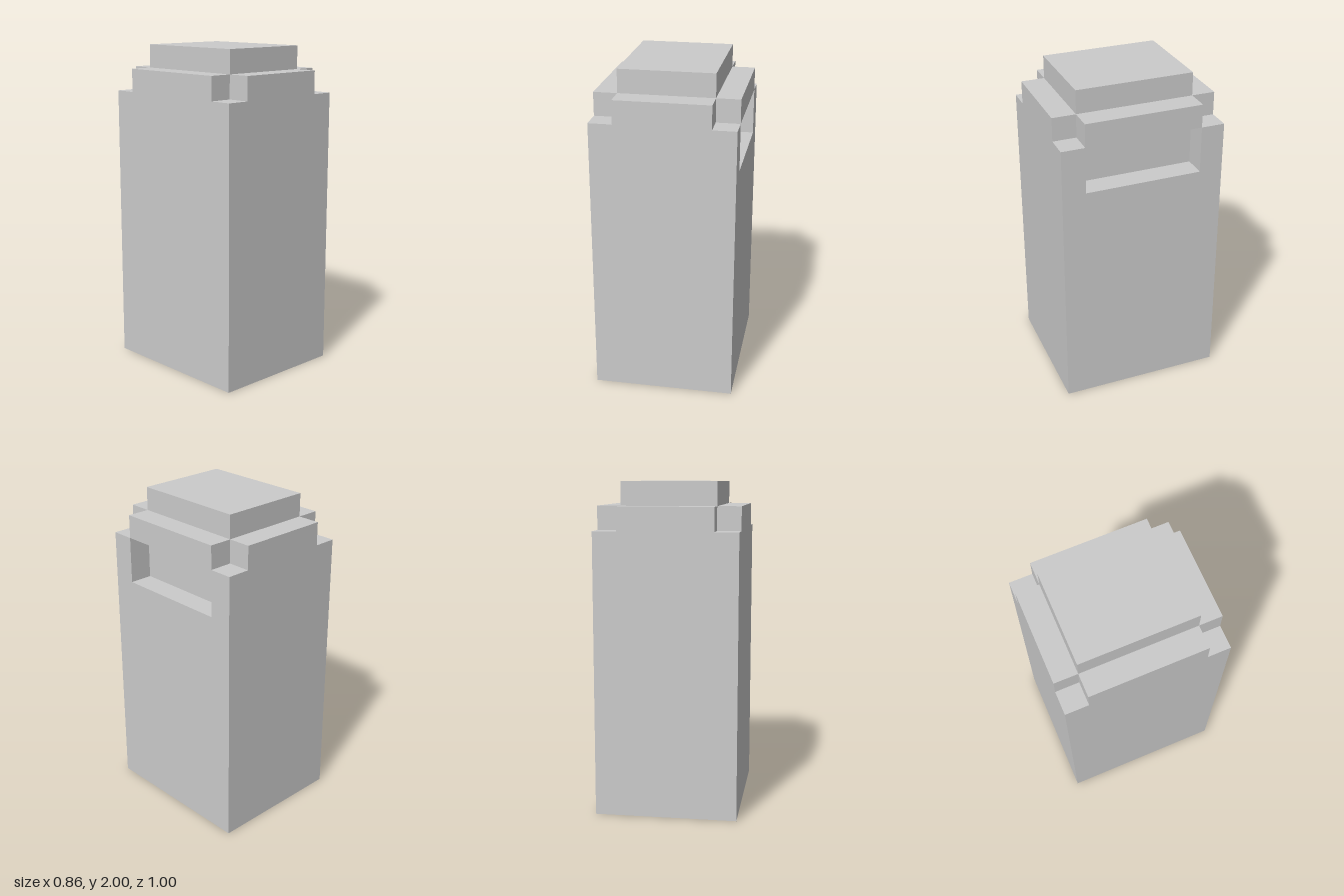
import * as THREE from 'three';

const U = 1 / 7; // block unit

// Cut planes of the block, in units, along x, y and z
const CUTS = [
  [-3, -2, 2, 3],
  [0, 10, 12, 13, 14],
  [-3.5, -2.5, 2.5, 3.5],
];

// Which cells between the cut planes are filled, layer by layer
function isSolid([i, j, k]) {
  if (i < 0 || i > 2 || k < 0 || k > 2) return false;
  if (j === 0) return true;                     // body
  if (j === 1) return !(i === 2 && k === 1);    // slot in the left side
  if (j === 2) return i === 1 || k === 1;       // shoulder with notched corners
  return j === 3 && i === 1 && k === 1;         // raised cap
}

// One closed shell: a quad wherever a filled cell meets an empty one
function blockGeometry() {
  const positions = [];
  const addFace = (cell, axis, dir) => {
    const b = (axis + 1) % 3, c = (axis + 2) % 3;
    const corners = [[0, 0], [1, 0], [1, 1], [0, 1]].map(([s, t]) => {
      const p = [0, 0, 0];
      p[axis] = CUTS[axis][cell[axis] + (dir > 0 ? 1 : 0)] * U;
      p[b] = CUTS[b][cell[b] + s] * U;
      p[c] = CUTS[c][cell[c] + t] * U;
      return p;
    });
    if (dir < 0) corners.reverse();
    for (const n of [0, 1, 2, 0, 2, 3]) positions.push(...corners[n]);
  };

  for (let i = 0; i < 3; i++)
    for (let j = 0; j < 4; j++)
      for (let k = 0; k < 3; k++) {
        const cell = [i, j, k];
        if (!isSolid(cell)) continue;
        for (let axis = 0; axis < 3; axis++)
          for (const dir of [-1, 1]) {
            const next = [...cell];
            next[axis] += dir;
            if (!isSolid(next)) addFace(cell, axis, dir);
          }
      }

  const geometry = new THREE.BufferGeometry();
  geometry.setAttribute('position', new THREE.Float32BufferAttribute(positions, 3));
  geometry.computeVertexNormals();
  return geometry;
}

export function createModel() {
  const group = new THREE.Group();
  group.name = 'steppedBlock';

  // Body, slot, notched shoulder and cap in one piece
  const block = new THREE.Mesh(
    blockGeometry(),
    new THREE.MeshStandardMaterial({ color: 0xcccccc, flatShading: true })
  );
  block.name = 'slottedBody';
  group.add(block);
  return group;
}
